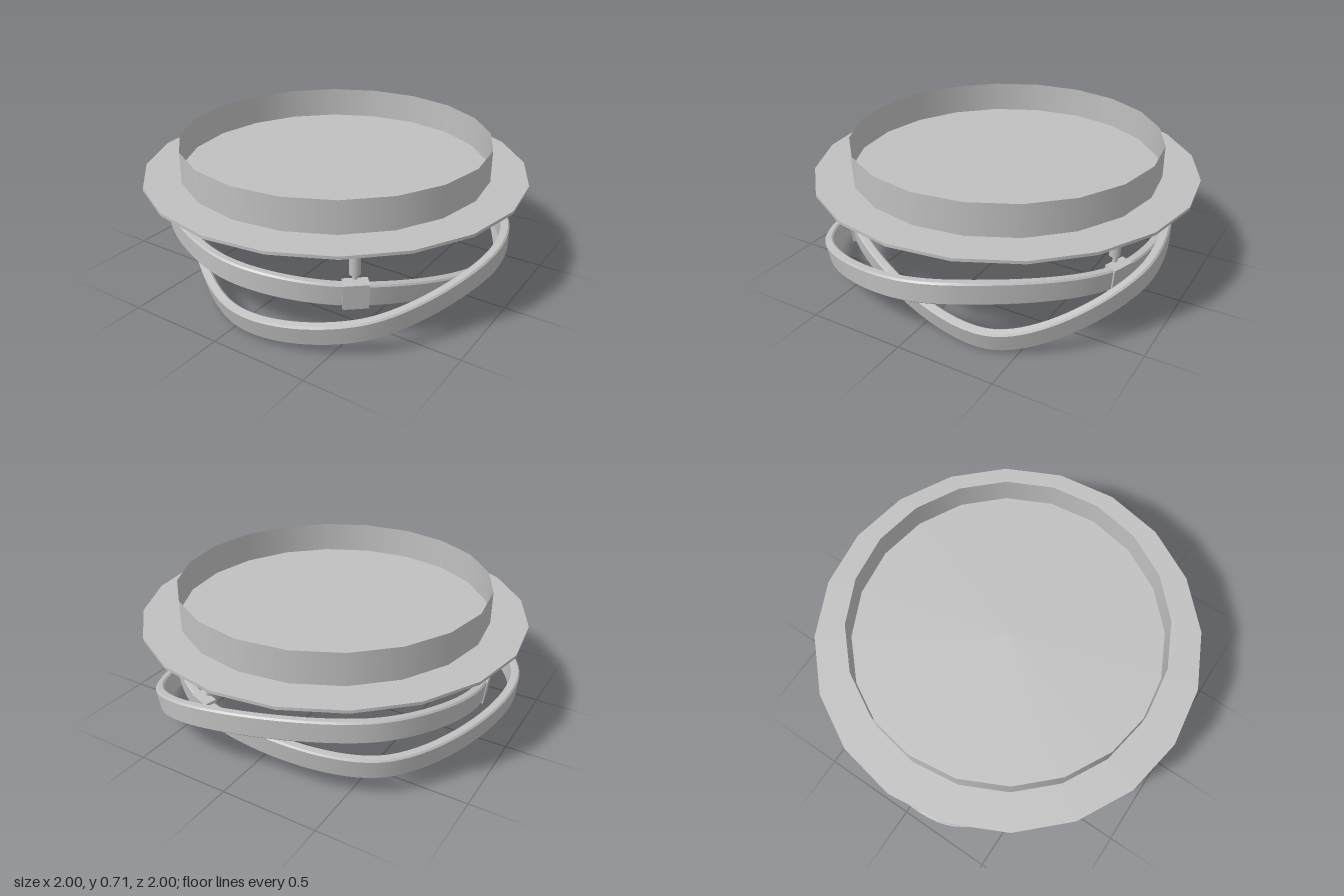
import * as THREE from 'three';

const rad = THREE.MathUtils.degToRad;

// Closed band that runs twice round the axis: angle (degrees), radius, height
const PATH = [
  [50, 0.81, 0.24], [95, 0.83, 0.287], [165, 0.96, 0.24], [225, 0.91, 0.165],
  [290, 0.81, 0.23], [345, 0.9, 0.302], [370, 0.935, 0.262], [410, 0.945, 0.135],
  [450, 0.86, 0.077], [530, 0.81, 0.22], [585, 0.86, 0.33], [650, 0.95, 0.28],
  [695, 0.89, 0.06],
];

function bandGeometry(steps) {
  const curve = new THREE.CatmullRomCurve3(
    PATH.map(([a, r, y]) => new THREE.Vector3(r * Math.cos(rad(a)), y, r * Math.sin(rad(a)))),
    true, 'centripetal');
  // Chamfered upright section: radial offset, vertical offset
  const w = 0.022, h = 0.057, c = 0.008;
  const section = [[w, -h + c], [w, h - c], [w - c, h], [-w + c, h],
    [-w, h - c], [-w, -h + c], [-w + c, -h], [w - c, -h]];
  const pos = [], index = [];
  const frames = [];
  for (let i = 0; i < steps; i++) {
    const p = curve.getPoint(i / steps), t = curve.getTangent(i / steps);
    const out = new THREE.Vector3(-t.z, 0, t.x).normalize();
    if (out.x * p.x + out.z * p.z < 0) out.negate();
    // Low stretches lean their bottom edge inward
    const lean = THREE.MathUtils.clamp((0.3 - p.y) * 1.2, 0, 0.28);
    frames.push({ p, out, cs: Math.cos(lean), sn: Math.sin(lean) });
  }
  // Each strip has its own vertices, so it is smooth along and sharp across
  section.forEach((a, s) => {
    const b = section[(s + 1) % section.length], base = pos.length / 3;
    frames.forEach(({ p, out, cs, sn }, i) => {
      for (const [u, v] of [a, b]) {
        const d = u * cs + v * sn;
        pos.push(p.x + out.x * d, p.y + v * cs - u * sn, p.z + out.z * d);
      }
      const k = base + i * 2, n = base + ((i + 1) % steps) * 2;
      index.push(k, k + 1, n, n, k + 1, n + 1);
    });
  });
  const g = new THREE.BufferGeometry();
  g.setAttribute('position', new THREE.Float32BufferAttribute(pos, 3));
  g.setIndex(index);
  g.computeVertexNormals();
  return g;
}

export function createModel() {
  const root = new THREE.Group();
  root.name = 'ceilingLamp';
  const grey = new THREE.MeshStandardMaterial({ color: 0xc0c0c0 });
  grey.name = 'grey metal';
  const greyThin = grey;
  greyThin.side = THREE.DoubleSide;

  const add = (parent, name, geometry, x, y, z) => {
    const mesh = new THREE.Mesh(geometry, grey);
    mesh.name = name;
    mesh.position.set(x, y, z);
    parent.add(mesh);
    return mesh;
  };

  // Twenty-sided plate and the open rim on top of it
  const turn = rad(-1.5);
  add(root, 'plate', new THREE.CylinderGeometry(1, 1, 0.015, 20), 0, 0.5325, 0).rotation.y = turn;
  add(root, 'rim', new THREE.CylinderGeometry(0.81, 0.81, 0.165, 20, 1, true), 0, 0.6225, 0).rotation.y = turn;

  // Woven band
  add(root, 'wovenBand', bandGeometry(240), 0, 0, 0);

  // Three hangers, each a rod, a thin stem and a clamp round the band
  for (let i = 0; i < 3; i++) {
    const hanger = new THREE.Group();
    hanger.name = 'hanger';
    hanger.rotation.y = -rad(50 + i * 120);
    add(hanger, 'rod', new THREE.CylinderGeometry(0.027, 0.027, 0.21, 20), 0.785, 0.435, 0);
    add(hanger, 'stem', new THREE.CylinderGeometry(0.012, 0.012, 0.08, 12), 0.788, 0.3, 0);
    const clamp = add(hanger, 'clamp', new THREE.BoxGeometry(0.062, 0.13, 0.12), 0.808, [0.24, 0.22, 0.23][i], 0);
    clamp.rotation.z = -0.1;
    root.add(hanger);
  }
  return root;
}
